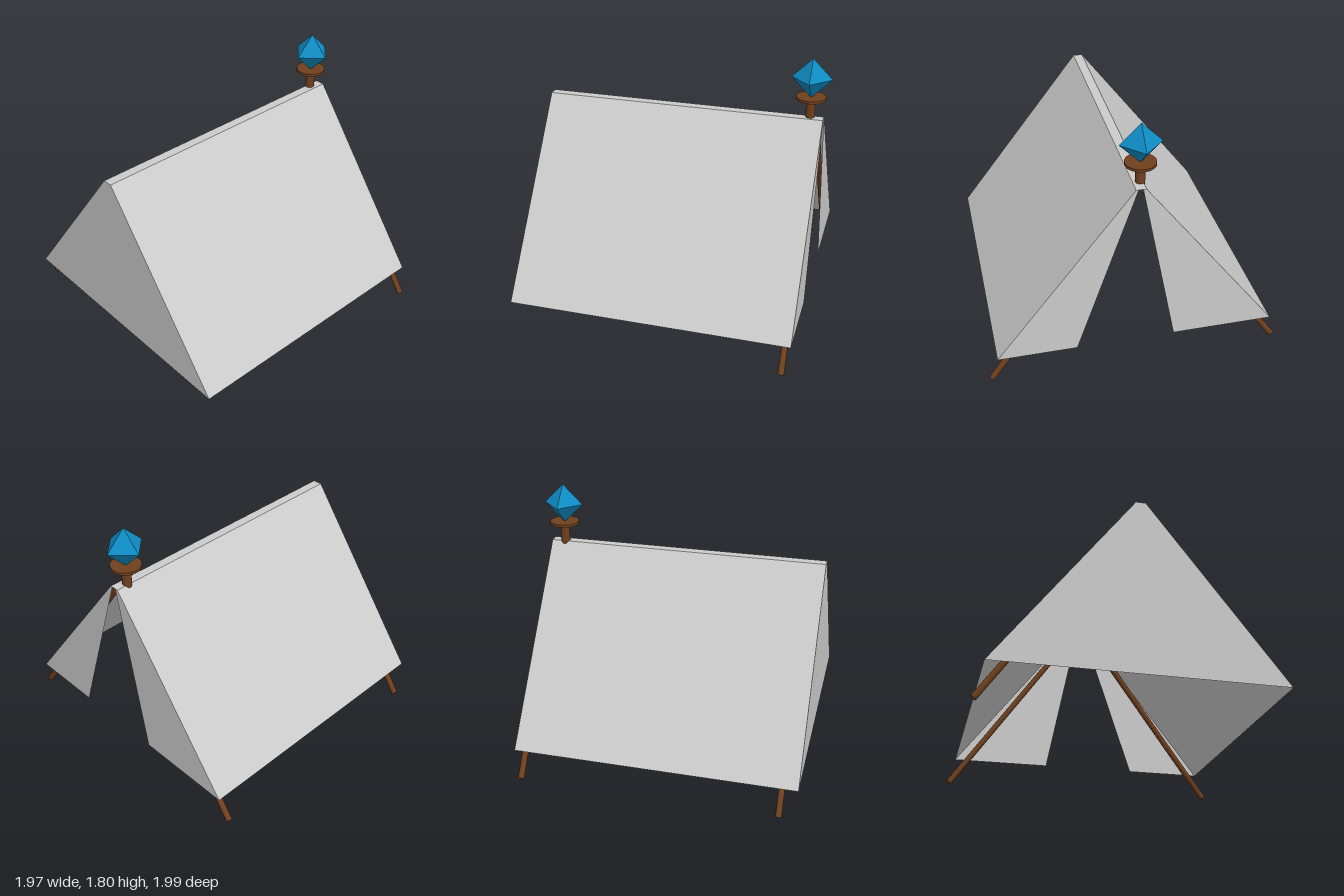
import * as THREE from 'three';

const mat = (color, extra = {}) => new THREE.MeshStandardMaterial({ color, ...extra });

export function createModel() {
  const tent = new THREE.Group();
  tent.name = 'tent';
  const cloth = mat(0xcccccc, { side: THREE.DoubleSide, flatShading: true });
  const wood = mat(0x70401e);
  const crystal = mat(0x0f8cc4, { flatShading: true });

  const add = (name, geometry, material, parent = tent) => {
    const mesh = new THREE.Mesh(geometry, material);
    mesh.name = name;
    parent.add(mesh);
    return mesh;
  };

  // Flat cloth panel from its corners, listed counter-clockwise from outside
  const panel = (name, corners) => {
    const geo = new THREE.BufferGeometry().setFromPoints(corners.map((c) => new THREE.Vector3(...c)));
    const index = [];
    for (let i = 1; i < corners.length - 1; i++) index.push(0, i, i + 1);
    geo.setIndex(index);
    geo.computeVertexNormals();
    add(name, geo, cloth);
  };

  const x0 = -0.99, x1 = 0.94;          // closed end, door end
  const low = 0.205, top = 1.395;       // hem and ridge heights
  const hem = 0.94, zf = 0.03, zb = -0.035;

  // Cloth shell
  panel('frontSlope', [[x0, low, hem], [x1, low, hem], [x1, top, zf], [x0, top, zf]]);
  panel('backSlope', [[x1, low, -hem], [x0, low, -hem], [x0, top, zb], [x1, top, zb]]);
  panel('ridge', [[x0, top, zf], [x1, top, zf], [x1, top, zb], [x0, top, zb]]);
  panel('closedEnd', [[x0, low, -hem], [x0, low, hem], [x0, top, zf], [x0, top, zb]]);

  // Door flaps, drawn open to different widths
  panel('frontDoorFlap', [[x1, low, hem], [x1, low, 0.41], [x1, top, 0.014], [x1, top, zf]]);
  panel('backDoorFlap', [[x1, low, -0.25], [x1, low, -hem], [x1, top, zb], [x1, top, -0.014]]);

  // Slanted support poles running under the cloth up to the ridge
  const poles = [['frontPole', 0.89, 1], ['backPole', 0.89, -1], ['rearBackPole', -0.875, -1]];
  for (const [name, x, side] of poles) {
    const foot = new THREE.Vector3(x, 0.013, side * 0.98);
    const tip = new THREE.Vector3(x, 1.36, side * 0.03);
    const dir = tip.clone().sub(foot);
    const pole = add(name, new THREE.CylinderGeometry(0.021, 0.021, dir.length(), 16), wood);
    pole.position.copy(foot).add(tip).multiplyScalar(0.5);
    pole.quaternion.setFromUnitVectors(new THREE.Vector3(0, 1, 0), dir.normalize());
  }

  // Crystal ornament on its post and plate
  const finial = new THREE.Group();
  finial.name = 'finial';
  finial.position.set(0.847, 0, -0.018);
  tent.add(finial);
  add('post', new THREE.CylinderGeometry(0.031, 0.031, 0.155, 20), wood, finial).position.y = 1.4525;
  add('plate', new THREE.CylinderGeometry(0.1, 0.1, 0.018, 32), wood, finial).position.y = 1.531;
  add('crystal', new THREE.OctahedronGeometry(0.137), crystal, finial).position.y = 1.667;

  return tent;
}
